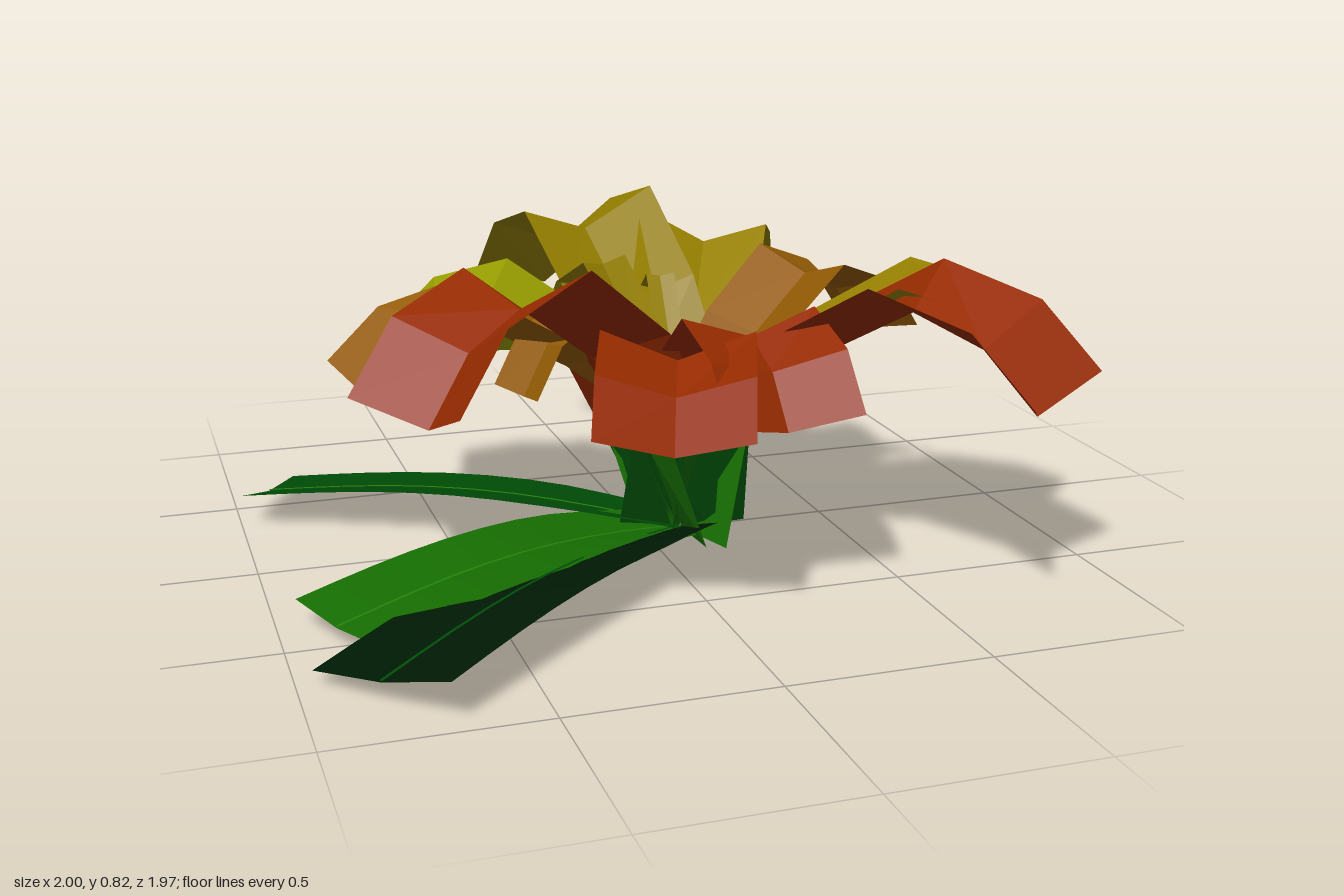
import * as THREE from 'three';

const CENTER = [0.1, 0.02]; // x, z of the plant's heart

function mat(name, color) {
  const m = new THREE.MeshStandardMaterial({ color, flatShading: true, side: THREE.DoubleSide });
  m.name = name;
  return m;
}

// Channelled strip running outwards: rows are [radius, height, halfWidth, edgeRaise],
// roll lifts one edge and lowers the other
function strip(rows, angle, roll = 0, from = 0, to = rows.length - 1) {
  const ux = Math.cos(angle), uz = Math.sin(angle);
  const lines = rows.map(([r, y, hw, raise], i) => {
    const a = rows[Math.max(0, i - 1)], b = rows[Math.min(rows.length - 1, i + 1)];
    const len = Math.hypot(b[0] - a[0], b[1] - a[1]);
    const nr = -(b[1] - a[1]) / len, ny = (b[0] - a[0]) / len;
    return [-1, 0, 1].map((s) => {
      const up = Math.abs(s) * raise + s * roll * hw;
      const rr = r + nr * up;
      return [CENTER[0] + ux * rr - uz * s * hw, Math.max(0.003, y + ny * up), CENTER[1] + uz * rr + ux * s * hw];
    });
  });
  const pos = [];
  for (let i = from; i < to; i++) {
    for (let j = 0; j < 2; j++) {
      const a = lines[i][j], b = lines[i][j + 1], c = lines[i + 1][j + 1], d = lines[i + 1][j];
      pos.push(...a, ...b, ...c, ...a, ...c, ...d);
    }
  }
  const g = new THREE.BufferGeometry();
  g.setAttribute('position', new THREE.Float32BufferAttribute(pos, 3));
  g.computeVertexNormals();
  return g;
}

export function createModel() {
  const root = new THREE.Group();
  root.name = 'plant';
  const red = mat('rust red', 0x962b00);
  const orange = mat('burnt orange', 0x945c05);
  const gold = mat('gold', 0x947f00);
  const olive = mat('olive yellow', 0x959b00);
  const green = mat('leaf green', 0x166e02);
  const mid = mat('deep green', 0x004d06);
  const dark = mat('dark green', 0x001a04);
  const rib = mat('rib green', 0x248208);

  const add = (parent, name, geo, material) => {
    const m = new THREE.Mesh(geo, material);
    m.name = name;
    parent.add(m);
    return m;
  };

  // Arching blades: end x, end z, height scale, width scale, colour, base colour, foot half width, roll
  const blades = [
    [-0.03, -0.87, 0.98, 1, gold, green, 0.11, 0.12],
    [0.455, -0.745, 0.88, 0.93, gold, green, 0.05, -0.12],
    [0.685, -0.175, 0.83, 0.9, orange, green, 0.19, 0],
    [0.85, 0.45, 0.82, 1, gold, green, 0.08, 0],
    [0.70, 0.78, 0.92, 1.05, red, green, 0.05, 0],
    [0.14, 0.65, 0.8, 0.9, red, mid, 0.18, 0],
    [-0.15, 0.70, 0.72, 0.95, red, mid, 0.1, 0],
    [-0.66, 0.51, 1.0, 1.03, red, mid, 0.1, -0.12],
    [-0.715, 0.09, 0.76, 0.98, orange, green, 0.16, 0],
    [-0.585, -0.305, 0.76, 0.93, olive, green, 0.05, 0],
    // short inner blades
    [-0.22, -0.36, 0.65, 0.55, olive, green, 0.04, 0],
    [-0.10, -0.38, 0.9, 0.4, gold, mid, 0.04, 0],
    [-0.36, 0.18, 0.8, 0.5, orange, mid, 0.04, 0],
    [0.14, -0.38, 0.8, 0.2, gold, mid, 0.03, 0],
    [-0.18, -0.18, 0.74, 0.35, gold, green, 0.04, 0],
  ];
  blades.forEach(([x, z, high, wide, color, baseColor, foot, roll]) => {
    const dx = x - CENTER[0], dz = z - CENTER[1];
    const reach = Math.hypot(dx, dz) / 0.9, angle = Math.atan2(dz, dx);
    const edge = wide * Math.min(1, reach);
    const [splitR, splitY] = baseColor === green ? [0.19, 0.38] : [0.13, 0.28];
    const lift = (y) => 0.3 + (y - 0.3) * high;
    const rows = [
      [0, 0.015, foot, 0],
      [splitR * Math.min(1, reach), splitY, 0.18 * wide, 0.04 * edge],
      [0.35 * reach, lift(0.55), 0.18 * wide, 0.08 * edge],
      [0.6 * reach, lift(0.72), 0.19 * wide, 0.09 * edge],
      [0.77 * reach, lift(0.65), 0.19 * wide, 0.1 * edge],
      [0.9 * reach, lift(0.5), 0.19 * wide, 0.1 * edge],
    ];
    const blade = new THREE.Group();
    blade.name = 'blade';
    add(blade, 'bladeBase', strip(rows, angle, roll, 0, 1), baseColor);
    add(blade, 'bladeTop', strip(rows, angle, roll, 1), color);
    root.add(blade);
  });

  // Long leaves lying low: end x, end z, half width, end height, roll, colour
  const leaves = [
    [-0.91, -0.505, 0.18, 0.05, -0.18, mid],
    [-0.84, 0.83, 0.19, 0.062, -0.18, dark],
    [-0.88, 0.49, 0.16, 0.05, 0.05, green],
  ];
  leaves.forEach(([x, z, hw, endY, roll, color]) => {
    const dx = x - CENTER[0], dz = z - CENTER[1];
    const length = Math.hypot(dx, dz), angle = Math.atan2(dz, dx);
    const rows = [], ribRows = [];
    for (let i = 0; i <= 10; i++) {
      const t = i / 10;
      const y = 0.02 + (endY - 0.02) * t + 0.05 * Math.sin(Math.PI * t);
      rows.push([length * t, y, hw * (0.65 + 0.35 * Math.min(1, t * 3)), 0.015]);
      ribRows.push([length * t, y + 0.004, 0.004, 0]);
    }
    const leaf = new THREE.Group();
    leaf.name = 'lowLeaf';
    add(leaf, 'leafBlade', strip(rows, angle, roll), color);
    add(leaf, 'leafRib', strip(ribRows, angle), color === dark ? mid : rib);
    root.add(leaf);
  });

  // Small heart bud
  const bud = add(root, 'heartBud', new THREE.ConeGeometry(0.03, 0.1, 6), green);
  bud.position.set(CENTER[0], 0.06, CENTER[1]);
  return root;
}
